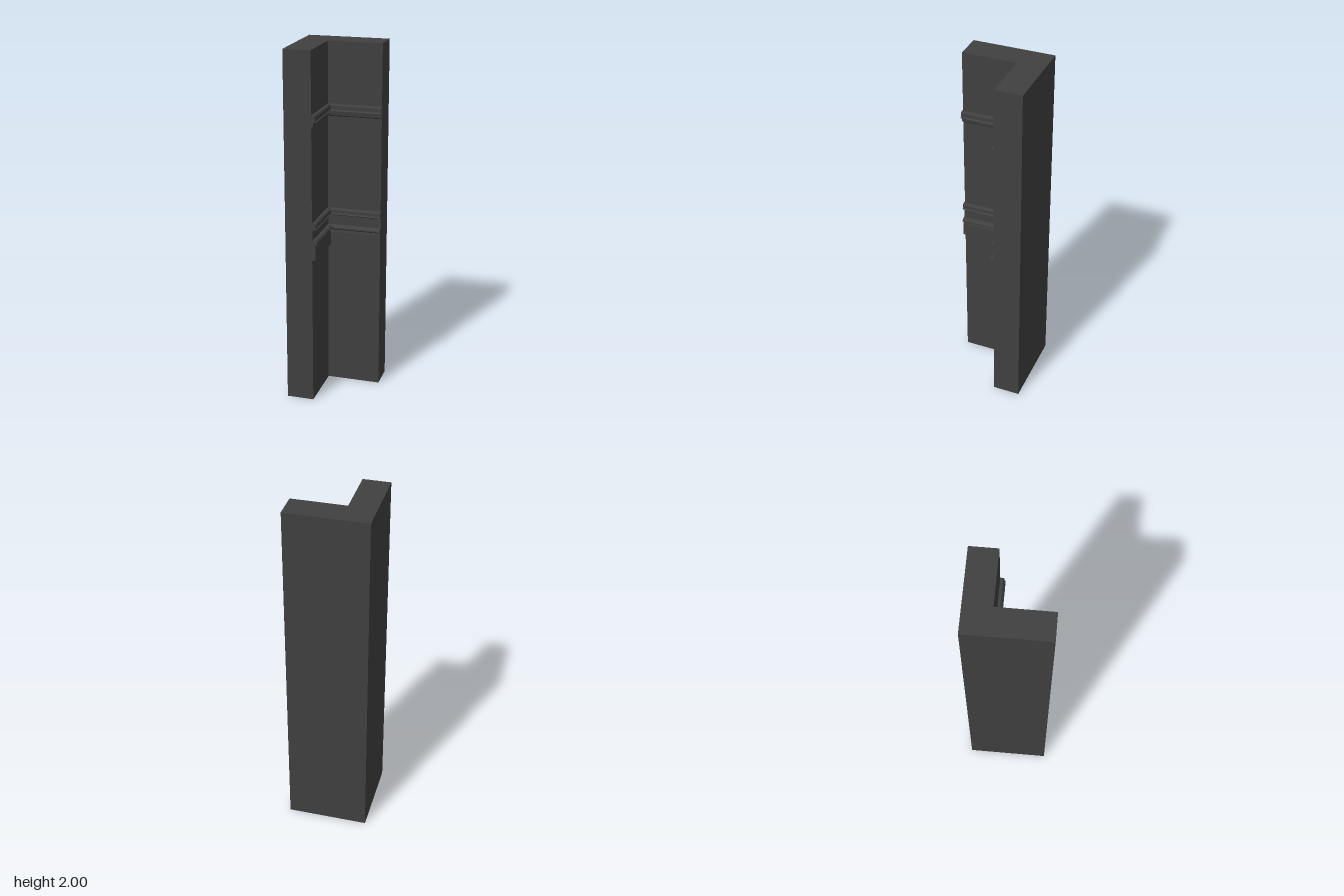
import * as THREE from 'three';

const BACK = -0.233, END = 0.225, INNER = -0.08, HEIGHT = 2;
const material = new THREE.MeshStandardMaterial({ color: 0x404040, flatShading: true, side: THREE.DoubleSide });

// Sweep a [projection, height] profile, listed top to bottom, round the mitred inner corner
function cornerMoulding(name, profile) {
  const tip = END + 0.003;
  const rings = profile.map(([d, y]) => [
    [INNER + d, y, tip], [INNER + d, y, INNER + d], [tip, y, INNER + d],
  ]);
  const positions = [];
  const tri = (a, b, c) => positions.push(...a, ...b, ...c);
  for (let i = 0; i < rings.length - 1; i++) {
    for (let k = 0; k < 2; k++) {
      const a = rings[i][k], b = rings[i + 1][k], c = rings[i + 1][k + 1], d = rings[i][k + 1];
      tri(a, b, c);
      tri(a, c, d);
    }
  }
  // End caps on both wings
  const outline = profile.map(([d, y]) => new THREE.Vector2(d, y));
  for (const [a, b, c] of THREE.ShapeUtils.triangulateShape(outline, [])) {
    for (const k of [0, 2]) tri(rings[a][k], rings[b][k], rings[c][k]);
  }
  const geometry = new THREE.BufferGeometry();
  geometry.setAttribute('position', new THREE.Float32BufferAttribute(positions, 3));
  geometry.computeVertexNormals();
  const mesh = new THREE.Mesh(geometry, material);
  mesh.name = name;
  return mesh;
}

export function createModel() {
  const group = new THREE.Group();
  group.name = 'wallCorner';

  // L-shaped wall: plan drawn with shape y = -z, then stood upright
  const plan = new THREE.Shape([
    [BACK, -END], [INNER, -END], [INNER, -INNER], [END, -INNER], [END, -BACK], [BACK, -BACK],
  ].map(([x, y]) => new THREE.Vector2(x, y)));
  const wallGeometry = new THREE.ExtrudeGeometry(plan, { depth: HEIGHT, bevelEnabled: false });
  wallGeometry.rotateX(-Math.PI / 2);
  const wall = new THREE.Mesh(wallGeometry, material);
  wall.name = 'wall';
  group.add(wall);

  // Upper picture rail
  group.add(cornerMoulding('upperRail', [
    [-0.005, 1.657], [0.015, 1.657], [0.021, 1.65], [0.021, 1.628], [0.028, 1.622],
    [0.012, 1.618], [0.008, 1.594], [0.002, 1.588], [-0.005, 1.588],
  ]));

  // Cap of the middle rail
  group.add(cornerMoulding('middleCap', [
    [-0.005, 1.06], [0.015, 1.06], [0.022, 1.052], [0.022, 1.034], [0.028, 1.028],
    [0.018, 1.022], [-0.005, 1.022],
  ]));

  // Recessed band between the two middle mouldings
  group.add(cornerMoulding('middleBand', [
    [-0.005, 1.022], [0.003, 1.022], [0.003, 0.96], [-0.005, 0.96],
  ]));

  // Lower moulding with its flat apron
  group.add(cornerMoulding('lowerRail', [
    [-0.005, 0.962], [0.02, 0.962], [0.03, 0.952], [0.03, 0.944], [0.018, 0.936],
    [0.021, 0.92], [0.021, 0.848], [-0.005, 0.848],
  ]));

  return group;
}
